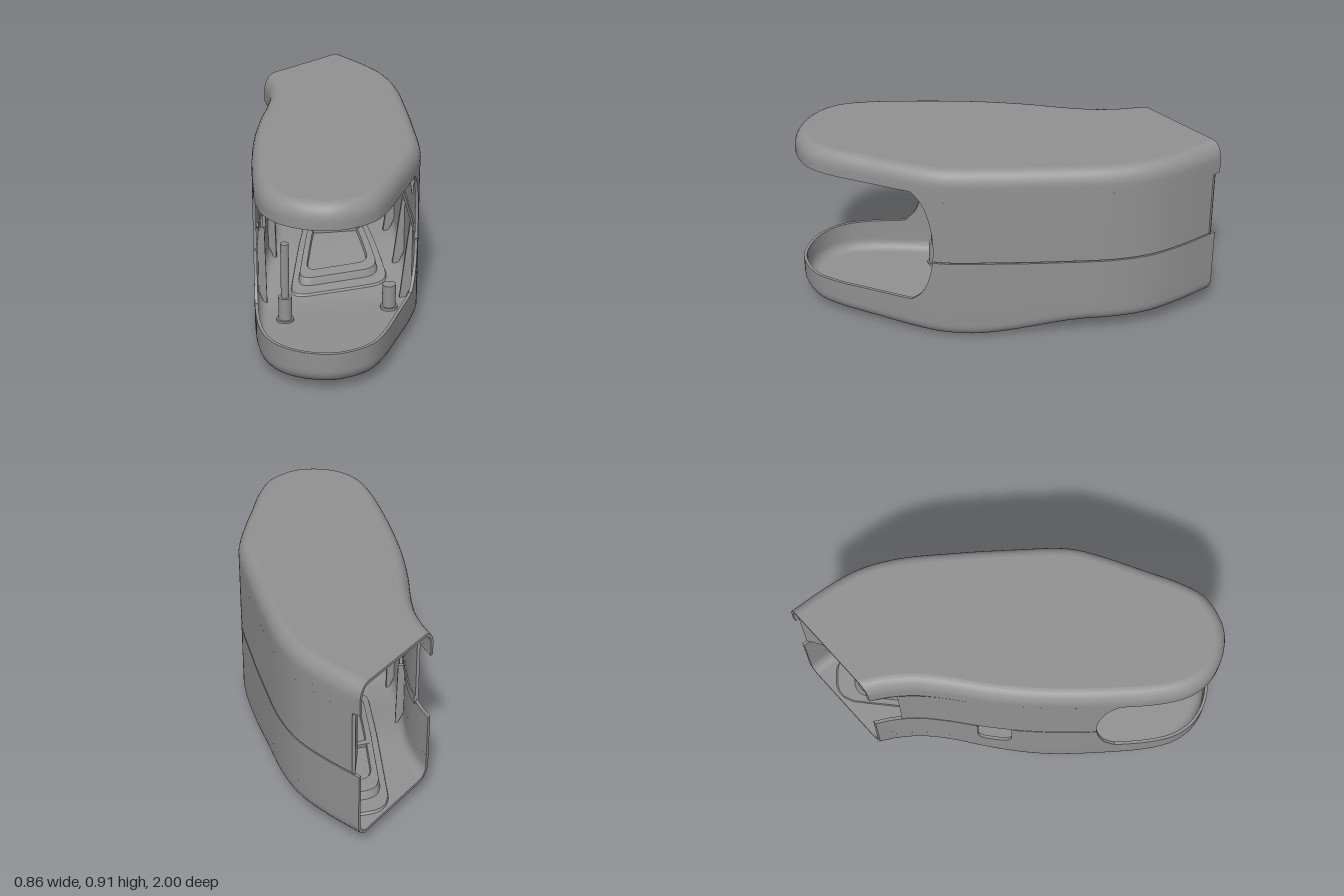
import * as THREE from 'three';
import { mergeGeometries, toCreasedNormals } from 'three/addons/utils/BufferGeometryUtils.js';

const T = 0.015, TOP = 0.91, FILLET = 0.06, N = 110;
const V = (x, y, z) => new THREE.Vector3(x, y, z);
const material = new THREE.MeshStandardMaterial({ color: 0x919191, side: THREE.DoubleSide });

// Plan outline, from the back right corner round the front to the back left corner
const plan = new THREE.CatmullRomCurve3([
  [0.22, -1], [0.32, -0.83], [0.395, -0.66], [0.425, -0.48], [0.42, -0.2], [0.405, 0.05], [0.375, 0.34],
  [0.32, 0.48], [0.227, 0.66], [0.13, 0.84], [0.06, 0.93], [-0.03, 0.98], [-0.13, 1], [-0.25, 0.97],
  [-0.35, 0.9], [-0.41, 0.8], [-0.43, 0.67], [-0.417, 0.4], [-0.38, 0.1], [-0.33, -0.13],
  [-0.27, -0.33], [-0.238, -0.47], [-0.232, -0.6], [-0.24, -0.68],
].map(([x, z]) => V(x, 0, z)), false, 'centripetal');
plan.arcLengthDivisions = 600;

const inward = u => {
  if (u <= 0) return V(-0.82, 0, 0.57);
  if (u >= 1) return V(1, 0, -0.7);
  const t = plan.getTangentAt(u);
  return V(-t.z, 0, t.x);
};
const inset = (u, d) => plan.getPointAt(u).addScaledVector(inward(u), d);

// Curve parameter at depth z on the right (+x) or left (-x) side
function uAt(z, right) {
  let a = 0.5, b = right ? 0 : 1;
  for (let i = 0; i < 24; i++) {
    const m = (a + b) / 2;
    if (plan.getPointAt(m).z > z) a = m; else b = m;
  }
  return (a + b) / 2;
}

// Underside height, and front edge of the side walls
const floorY = z => z > 0.2 ? 0.045 * (z - 0.2) / 0.8 : 0.075 * THREE.MathUtils.smoothstep(-z, -0.2, 0.4);
const frontZ = y => {
  const q = Math.abs(y - 0.5) / 0.3;
  return 0.375 + 0.07 * q ** 2 + 0.035 * q ** 8;
};

// Surface through rows of points
function grid(rows) {
  const p = [];
  for (let j = 0; j + 1 < rows.length; j++)
    for (let i = 0; i + 1 < rows[j].length; i++) {
      const a = rows[j][i], b = rows[j][i + 1], c = rows[j + 1][i], d = rows[j + 1][i + 1];
      for (const v of [a, c, b, b, c, d]) p.push(v.x, v.y, v.z);
    }
  const g = new THREE.BufferGeometry();
  g.setAttribute('position', new THREE.Float32BufferAttribute(p, 3));
  return g;
}

// Closed wall: each row gives its u range, outer and inner inset and height
function wall(rows, n) {
  const line = (r, d, y) => Array.from({ length: n + 1 }, (_, i) => {
    const p = inset(r.u0 + (r.u1 - r.u0) * i / n, d);
    p.y = y + (r.onFloor ? floorY(p.z) : 0);
    return p;
  });
  const out = rows.map(r => line(r, r.d ?? 0, r.y));
  const inn = rows.map(r => line(r, r.d2 ?? T, r.y2 ?? r.y));
  return mergeGeometries([
    grid([...out, ...[...inn].reverse(), out[0]]),
    grid(out.map((o, j) => [inn[j][0], o[0]])),
    grid(out.map((o, j) => [o[n], inn[j][n]])),
  ]);
}

// Closed plan loop, including the slanted back edge
function loop(d) {
  const pts = Array.from({ length: N + 1 }, (_, i) => inset(i / N, d));
  const a = pts[N], b = pts[0];
  for (let i = 1; i <= 10; i++) pts.push(a.clone().lerp(b, i / 10));
  return pts;
}

// Rounded four-sided panel recessed into the underside
const centre = V(0.07, 0, -0.33);
const corners = [[0.26, -0.02], [-0.17, 0.04], [0.03, -0.79], [0.235, -0.77]].map(c => new THREE.Vector2(...c));
const panelPath = new THREE.Path();
corners.forEach((c, i) => {
  const from = corners[(i + 3) % 4], to = corners[(i + 1) % 4];
  const toward = q => c.clone().add(q.clone().sub(c).setLength(0.085));
  const a = toward(from), b = toward(to);
  if (i) panelPath.lineTo(a.x, a.y); else panelPath.moveTo(a.x, a.y);
  panelPath.quadraticCurveTo(c.x, c.y, b.x, b.y);
});
panelPath.closePath();
const panel = panelPath.getPoints(10).map(p => V(p.x, 0, p.y));
function panelReach(dir) {
  for (let i = 0; i + 1 < panel.length; i++) {
    const a = panel[i].clone().sub(centre), e = panel[i + 1].clone().sub(panel[i]);
    const den = dir.x * e.z - dir.z * e.x;
    const r = (a.x * e.z - a.z * e.x) / den, s = (a.x * dir.z - a.z * dir.x) / den;
    if (r > 0 && s >= -1e-6 && s <= 1 + 1e-6) return r;
  }
  return 0.2;
}

// Floor with the recessed panel, a raised frame on its inside and a shallow step around it
function floorPlate() {
  const rim = loop(FILLET);
  const sheet = (lift, frame) => {
    const rows = [[0, 0.03], [0.25, 0.03], [0.5, 0.03], [0.74, 0.03], [0.77, 0.03 + frame], [0.96, 0.03 + frame],
      [0.98, 0.03], [1, 0.01], [1.06, 0.01], [1.19, 0.01], [1.21, 0]].map(([k, h]) => rim.map(p => {
      const dir = p.clone().sub(centre), R = dir.length();
      dir.divideScalar(R);
      const q = centre.clone().addScaledVector(dir, Math.min(panelReach(dir) * k, R * (0.9 + 0.06 * k / 1.21)));
      q.y = lift + floorY(q.z) + h;
      return q;
    }));
    const last = rows[rows.length - 1];
    for (let i = 1; i <= 16; i++) rows.push(rim.map((p, c) => {
      const q = last[c].clone().lerp(p, i / 16);
      q.y = lift + floorY(q.z);
      return q;
    }));
    return rows;
  };
  return grid([...sheet(T, 0.015), ...sheet(0, 0).reverse()]);
}

function roofPlate() {
  const rim = loop(FILLET), at = (k, y) => rim.map(p => centre.clone().lerp(p, k).setY(y));
  return grid([at(0, TOP - T), at(1, TOP - T), at(1, TOP), at(0, TOP)]);
}

export function createModel() {
  const group = new THREE.Group();
  const add = (name, geometry, parent = group) => {
    const m = new THREE.Mesh(geometry, material);
    m.name = name;
    parent.add(m);
    return m;
  };
  const smooth = g => toCreasedNormals(g, 0.5);
  const steps = (a, b, n) => Array.from({ length: n + 1 }, (_, i) => a + (b - a) * i / n);
  const full = { u0: 0, u1: 1 };

  // Roof and floor shells with rounded edges
  const arc = steps(0, Math.PI / 2, 8);
  add('roofEdge', smooth(wall([{ ...full, y: 0.795 }, ...arc.map(a => ({
    ...full, d: FILLET * (1 - Math.cos(a)), y: TOP - 0.08 * (1 - Math.sin(a)),
    d2: T + 0.045 * (1 - Math.cos(a)), y2: TOP - T - 0.065 * (1 - Math.sin(a)),
  }))], N)));
  add('roof', smooth(roofPlate()));
  add('floorEdge', smooth(wall([...[...arc].reverse().map(a => ({
    ...full, onFloor: true, d: FILLET * (1 - Math.cos(a)), y: 0.07 * (1 - Math.sin(a)),
    d2: T + 0.045 * (1 - Math.cos(a)), y2: T + 0.055 * (1 - Math.sin(a)),
  })), { ...full, y: 0.2 }], N)));
  add('floor', smooth(floorPlate()));

  // Upper side walls, both cut back at the rear below a given height
  const lower = steps(0.2, 0.425, 14);
  function upperWall(right, notchZ, notchTop) {
    const notch = uAt(notchZ, right);
    const row = (y, back) => {
      const front = uAt(frontZ(y), right);
      return { u0: right ? back : front, u1: right ? front : back, y };
    };
    return smooth(wall([...steps(0.432, notchTop, 18).map(y => row(y, notch)),
      ...steps(notchTop, 0.795, 4).map(y => row(y, right ? 0 : 1))], 44));
  }
  add('upperRightWall', upperWall(true, -0.97, 0.757));
  add('upperLeftWall', upperWall(false, -0.55, 0.77));

  // Lower side walls, the left one split round a U-shaped window
  add('lowerRightWall', smooth(wall(lower.map(y => ({ u0: 0, u1: uAt(frontZ(y), true), y })), 44)));
  const half = y => y >= 0.29 ? 0.08 : 0.03 + 0.05 * Math.sqrt(Math.max(0, 1 - ((0.29 - y) / 0.045) ** 2));
  const windowZ = -0.11;
  const windowRows = [[0.2, 0], [0.245, 0], ...[0.245, 0.25, 0.257, 0.267, 0.278, 0.29, 0.32, 0.36, 0.395, 0.425]
    .map(y => [y, half(y)])];
  add('lowerLeftFrontWall', smooth(wall(windowRows.map(([y, h]) =>
    ({ u0: uAt(frontZ(y), false), u1: uAt(windowZ + h, false), y })), 24)));
  add('lowerLeftBackWall', smooth(wall(windowRows.map(([y, h]) =>
    ({ u0: uAt(windowZ - h, false), u1: 1, y })), 24)));

  // Overlapping lip behind the joint
  for (const right of [true, false]) {
    const front = uAt(0.37, right), back = uAt(right ? -0.95 : -0.55, right);
    const lip = y => ({ u0: right ? back : front, u1: right ? front : back, d: 0.01, d2: T + 0.006, y });
    add(right ? 'rightLip' : 'leftLip', smooth(wall([lip(0.41), lip(0.455)], 88)));
  }

  // Tapered stiffening ribs on the inside of the walls, clear of the rounded edges
  const ribs = new THREE.Group();
  ribs.name = 'ribs';
  group.add(ribs);
  function rib(z, right, y0, y1, deep, tip) {
    const u = uAt(z, right), p = inset(u, T - 0.002), n = inward(u);
    const shoulder = y0 + Math.sign(y1 - y0) * 0.07;
    const s = new THREE.Shape([[0.03, y0], [deep, y0], [tip, y1], [0, y1], [0, shoulder]]
      .map(c => new THREE.Vector2(...c)));
    const g = new THREE.ExtrudeGeometry(s, { depth: 0.018, bevelEnabled: false });
    g.translate(0, 0, -0.009);
    const m = add('rib', g, ribs);
    m.position.copy(p);
    m.rotation.y = Math.atan2(-n.z, n.x);
  }
  const roofY = TOP - T - 0.005, aboveFloor = z => floorY(z) + 0.012;
  for (const z of [0.08, -0.1, -0.28]) rib(z, false, roofY, 0.575, 0.05, 0.01);
  for (const z of [0.12, -0.26]) rib(z, false, aboveFloor(z), 0.425, 0.042, 0.034);
  for (const z of [0.17, -0.13, -0.46]) rib(z, true, aboveFloor(z), 0.42, 0.06, 0.015);
  for (const z of [0.17, -0.13, -0.46, -0.72]) rib(z, true, roofY, 0.575, 0.055, 0.01);
  rib(-0.83, true, aboveFloor(-0.83), 0.325, 0.055, 0.02);

  // Latch plate at the back right corner
  const latch = add('latchPlate', new THREE.BoxGeometry(0.015, 0.325, 0.125));
  latch.position.set(0.212, 0.5925, -0.917);
  latch.rotation.y = Math.atan2(-0.05, 0.115);

  // Crossbar inside the raised panel frame
  const bar = add('panelCrossbar', new THREE.BoxGeometry(0.27, 0.02, 0.03));
  bar.position.set(0.1, floorY(-0.42) + 0.052, -0.42);

  // Screw posts with bosses, and the screw heads underneath
  const rod = (name, r, x, z, y0, y1) =>
    add(name, new THREE.CylinderGeometry(r, r, y1 - y0, 24)).position.set(x, (y0 + y1) / 2, z);
  rod('leftScrewPost', 0.02, -0.265, 0.335, 0.012, 0.43);
  for (const [side, x, z] of [['left', -0.265, 0.335], ['right', 0.25, 0.28]]) {
    rod(side + 'Boss', 0.033, x, z, 0.01, 0.15);
    rod(side + 'BossFoot', 0.042, x, z, 0.01, 0.035);
    rod(side + 'ScrewHead', 0.022, x, z - 0.02, 0.001, 0.02);
  }
  return group;
}
